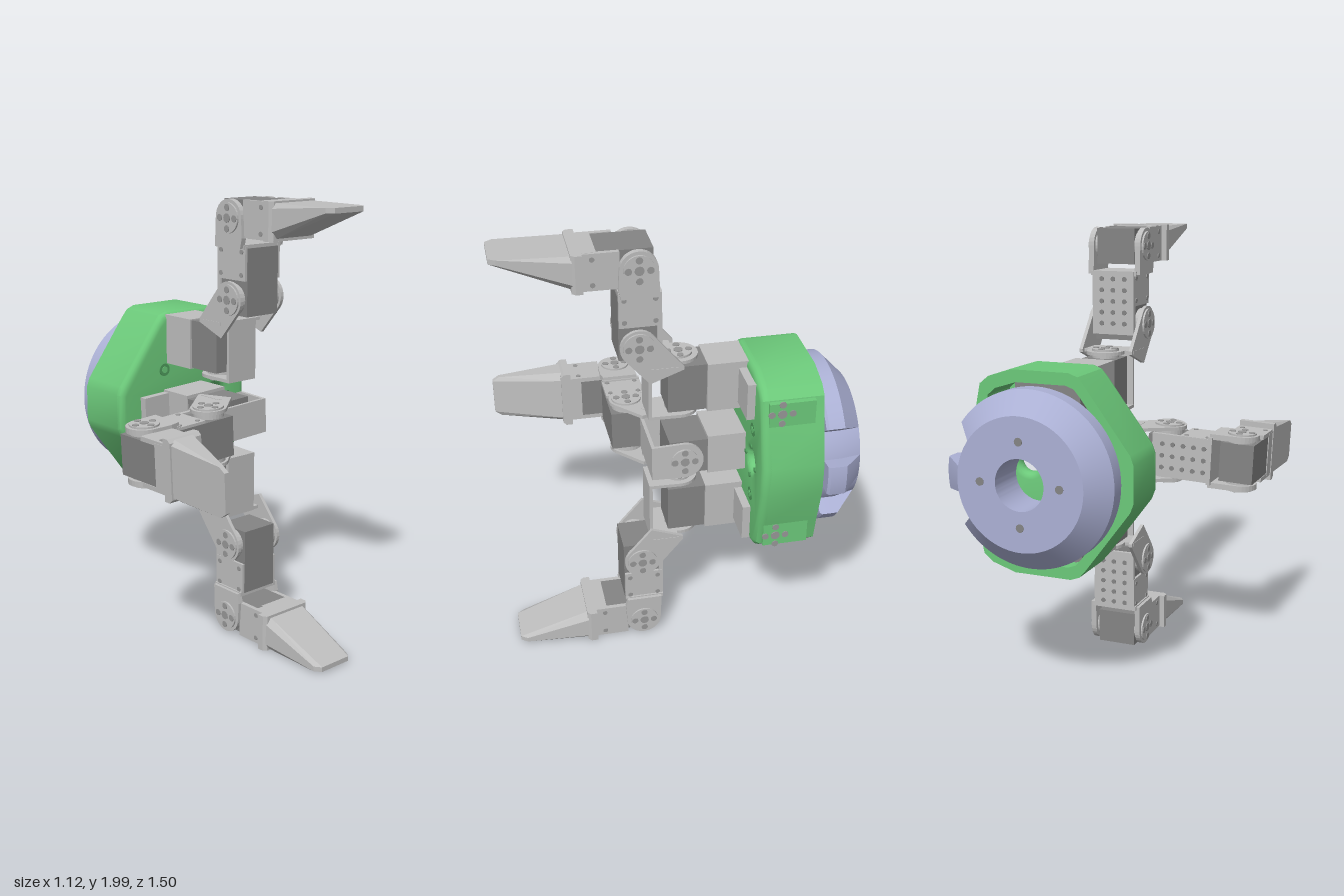
import * as THREE from 'three';
import { toCreasedNormals } from 'three/addons/utils/BufferGeometryUtils.js';
import { ConvexGeometry } from 'three/addons/geometries/ConvexGeometry.js';

const material = (name, color) => Object.assign(new THREE.MeshStandardMaterial({ color }), { name });
const bracketGrey = material('bracket grey', 0xbebebe);
const servoGrey = material('servo grey', 0x848484);
const screwGrey = material('screw grey', 0x979797);
const palmGreen = material('palm green', 0x6cc97a);
const socketGreen = material('socket green', 0x4f9c5c);
const flangeLavender = material('flange lavender', 0xabb0d4);

function add(parent, name, geometry, mat) {
  const mesh = new THREE.Mesh(geometry, mat);
  mesh.name = name;
  parent.add(mesh);
  return mesh;
}

// Box from its two limits on each axis
function box(parent, name, mat, [x0, x1], [y0, y1], [z0, z1]) {
  const g = new THREE.BoxGeometry(Math.abs(x1 - x0), y1 - y0, z1 - z0);
  g.translate((x0 + x1) / 2, (y0 + y1) / 2, (z0 + z1) / 2);
  return add(parent, name, g, mat);
}

const circle = (a, b, r, n = 28) => Array.from({ length: n }, (_, i) => {
  const t = (i / n) * Math.PI * 2;
  return [a + r * Math.cos(t), b + r * Math.sin(t)];
});

// Convex plate: outline in the two other axes, thickness along 'x' or 'y'
function plate(parent, name, mat, axis, outline, t0, t1) {
  const pts = [];
  for (const t of [t0, t1]) for (const [a, b] of outline) {
    pts.push(axis === 'x' ? new THREE.Vector3(t, a, b) : new THREE.Vector3(a, t, b));
  }
  return add(parent, name, new ConvexGeometry(pts), mat);
}

// One central and four surrounding screws on a hub face
function hubScrews(parent, axis, a, b, t) {
  const spots = [[0, 0, 0.02], ...circle(0, 0, 0.045, 4).map(([p, q]) => [p, q, 0.015])];
  for (const [p, q, r] of spots) {
    plate(parent, 'screw', screwGrey, axis, circle(a + p, b + q, r, 12), t - 0.003, t + 0.003);
  }
}

// Finger pointing along +y with its first joint at the origin; s mirrors it in x
function finger(name, s, sideMount) {
  const f = new THREE.Group();
  f.name = name;

  // Base servo and palm mount
  box(f, 'baseServo', servoGrey, [-0.08, 0.08], [-0.11, 0.11], [-0.14, 0.04]);
  box(f, 'baseBracket', bracketGrey, [-0.09, 0.095], [-0.115, 0.115], [-0.31, -0.13]);
  if (sideMount) box(f, 'palmMount', bracketGrey, [s * 0.08, s * 0.245], [-0.085, 0.085], [-0.32, -0.265]);
  else box(f, 'palmMount', bracketGrey, [-0.085, 0.085], [0.1, 0.255], [-0.32, -0.265]);

  // Yoke turning about the first joint
  for (const m of [-1, 1]) {
    plate(f, 'yokeArm', bracketGrey, 'y', [...circle(0, -0.02, 0.085), [-0.08, 0.125], [0.08, 0.125]], m * 0.125, m * 0.14);
    plate(f, 'yokeHub', bracketGrey, 'y', circle(0, -0.02, 0.06), m * 0.11, m * 0.15);
    hubScrews(f, 'y', 0, -0.02, m * 0.15);
  }
  box(f, 'yokeWeb', bracketGrey, [-0.08, 0.08], [-0.14, 0.14], [0.11, 0.125]);
  box(f, 'yokeShelf', bracketGrey, [-0.13, 0.13], [0.125, 0.14], [0.0, 0.12]);

  // Cheeks carrying the second and third joints
  for (const m of [-1, 1]) {
    plate(f, 'lowerCheek', bracketGrey, 'x',
      [...circle(0.245, 0.17, 0.08), [0.07, 0.125], [0.09, 0.1], [0.125, -0.02], [0.14, -0.02]], m * 0.112, m * 0.128);
    plate(f, 'lowerHub', bracketGrey, 'x', circle(0.245, 0.17, 0.068), m * 0.09, m * 0.136);
    hubScrews(f, 'x', 0.245, 0.17, m * 0.136);
    plate(f, 'upperCheek', bracketGrey, 'x',
      [...circle(0.595, 0.165, 0.08), [0.47, 0.08], [0.47, 0.24], [0.515, 0.25]], m * 0.1, m * 0.125);
    plate(f, 'upperHub', bracketGrey, 'x', circle(0.595, 0.165, 0.065), m * 0.09, m * 0.133);
    hubScrews(f, 'x', 0.595, 0.165, m * 0.133);
    // Middle segment side plate with corner screws
    box(f, 'middleSide', bracketGrey, [m * 0.09, m * 0.102], [0.33, 0.48], [0.07, 0.248]);
    for (const v of [0.355, 0.455]) for (const z of [0.095, 0.225]) {
      plate(f, 'screw', screwGrey, 'x', circle(v, z, 0.011, 10), m * 0.1, m * 0.105);
    }
    // Tip segment side plate
    box(f, 'tipSide', bracketGrey, [m * 0.09, m * 0.11], [0.515, 0.675], [0.24, 0.4]);
    for (const v of [0.54, 0.65]) {
      plate(f, 'screw', screwGrey, 'x', circle(v, 0.35, 0.011, 10), m * 0.108, m * 0.113);
    }
  }

  // Middle servo with its perforated back plate
  box(f, 'middleServo', servoGrey, [-0.09, 0.09], [0.175, 0.47], [0.085, 0.25]);
  box(f, 'middleBack', bracketGrey, [-0.1, 0.1], [0.2, 0.485], [0.068, 0.088]);
  box(f, 'middleCap', bracketGrey, [-0.11, 0.11], [0.465, 0.485], [0.07, 0.245]);
  for (const v of [0.25, 0.3, 0.35, 0.4, 0.45]) for (const u of [-0.055, 0, 0.055]) {
    const hole = add(f, 'plateHole', new THREE.CylinderGeometry(0.011, 0.011, 0.006, 10), servoGrey);
    hole.rotation.x = Math.PI / 2;
    hole.position.set(u, v, 0.067);
  }

  // Tip servo, bracket and collar
  box(f, 'tipServo', servoGrey, [-0.09, 0.09], [0.515, 0.672], [0.1, 0.34]);
  box(f, 'tipBracket', bracketGrey, [-0.1, 0.1], [0.515, 0.676], [0.33, 0.4]);
  plate(f, 'tipCollar', bracketGrey, 'y', [[-0.135, 0.39], [0.135, 0.39], [0.135, 0.42], [0.12, 0.435], [-0.12, 0.435], [-0.135, 0.42]], 0.515, 0.68);

  // Wedge-shaped fingertip
  const tip = [
    [-0.125, 0.555], [-0.1, 0.525], [0.1, 0.525], [0.13, 0.555], [0.13, 0.65], [0.11, 0.672], [-0.11, 0.672], [-0.125, 0.65],
  ].map(([u, v]) => [u, v, 0.43]);
  for (const v of [0.65, 0.672]) tip.push([-0.117, v, 0.72], [0.09, v, 0.72], [-0.095, v, 0.75], [0.07, v, 0.75]);
  add(f, 'fingertip', new ConvexGeometry(tip.map(([u, v, z]) => new THREE.Vector3(s * u, v, z))), bracketGrey);
  return f;
}

// Green palm shell: front plate with rounded edge and a hollow wall behind it
function palm() {
  const g = new THREE.Group();
  g.name = 'palm';
  const half = [[0.52, 0.07], [0.475, 0.25], [0.45, 0.37], [0.41, 0.405], [0.3, 0.44], [0.04, 0.44],
    [0.0, 0.425], [-0.03, 0.39], [-0.23, 0.12], [-0.245, 0.08]];
  const outline = [...half, ...half.slice().reverse().map(([x, y]) => [x, -y])].map(([x, y]) => new THREE.Vector2(x, 1 + y));
  const centre = new THREE.Vector2(0.14, 1);

  const front = new THREE.Shape(outline);
  for (const [x, y, r] of [[0.33, 1, 0.05]]) front.holes.push(new THREE.Path().absarc(x, y, r, 0, Math.PI * 2, true));
  const frontGeo = new THREE.ExtrudeGeometry(front, {
    depth: 0.01, bevelThickness: 0.03, bevelSize: 0.03, bevelOffset: -0.03, bevelSegments: 4, curveSegments: 20 });
  frontGeo.translate(0, 0, -0.34);
  add(g, 'palmFront', toCreasedNormals(frontGeo, 0.5), palmGreen);

  const wall = new THREE.Shape(outline);
  wall.holes.push(new THREE.Path(outline.map((p) => p.clone().sub(centre).multiplyScalar(0.88).add(centre)).reverse()));
  const wallGeo = new THREE.ExtrudeGeometry(wall, { depth: 0.24, bevelEnabled: false });
  wallGeo.translate(0, 0, -0.57);
  add(g, 'palmWall', toCreasedNormals(wallGeo, 0.4), palmGreen);

  for (const m of [-1, 1]) {
    // Side pad with mounting screws
    box(g, 'sidePad', palmGreen, [0.42, 0.474], [1 + m * 0.3 - 0.065, 1 + m * 0.3 + 0.065], [-0.53, -0.33]);
    hubScrews(g, 'x', 1 + m * 0.315, -0.385, 0.475);
    // Servo housing inside the shell
    box(g, 'innerServo', servoGrey, [0.02, 0.32], [1 + m * 0.3 - 0.085, 1 + m * 0.3 + 0.085], [-0.5, -0.35]);
  }
  // Sockets on the front face
  const sockets = [...circle(0.33, 1, 0.075, 4).map(([x, y]) => [x, y, 0.011])];
  for (const x of [0.01, 0.345]) for (const y of [0.835, 1.17]) sockets.push([x, y, 0.03], [x, y, 0.016]);
  for (const [x, y, r] of sockets) {
    const d = add(g, 'socket', new THREE.CylinderGeometry(r, r, r < 0.02 ? 0.008 : 0.004, 18), r === 0.016 ? palmGreen : socketGreen);
    d.rotation.x = Math.PI / 2;
    d.position.set(x, y, -0.299);
  }
  return g;
}

// Lavender mounting flange: revolved profile with two notches beside a lug
function flange() {
  const g = new THREE.Group();
  g.name = 'wristFlange';
  const profile = [[0.11, -0.75], [0.285, -0.75], [0.38, -0.66], [0.38, -0.59], [0.37, -0.58], [0.3, -0.58], [0.3, -0.565], [0.11, -0.565]];
  const angles = [];
  for (let a = 0; a < 360; a += 4) angles.push(a);
  for (const e of [11, 35]) angles.push(e - 0.4, e + 0.4, 360 - e - 0.4, 360 - e + 0.4);
  angles.sort((a, b) => a - b);
  const pos = [], index = [], n = profile.length;
  angles.forEach((deg, i) => {
    const off = Math.min(deg, 360 - deg), t = THREE.MathUtils.degToRad(deg);
    const limit = off > 11 && off < 35 ? 0.305 : 1;
    profile.forEach(([r, z], j) => {
      const q = Math.min(r, limit);
      pos.push(q * Math.cos(t), q * Math.sin(t), z);
      const i2 = (i + 1) % angles.length, j2 = (j + 1) % n;
      const a = i * n + j, b = i2 * n + j, c = i * n + j2, d = i2 * n + j2;
      index.push(a, b, c, b, d, c);
    });
  });
  const geo = new THREE.BufferGeometry();
  geo.setAttribute('position', new THREE.Float32BufferAttribute(pos, 3));
  geo.setIndex(index);
  add(g, 'flangeBody', toCreasedNormals(geo.toNonIndexed(), 0.4), flangeLavender);
  // Bolt holes on the back
  for (const [x, y] of circle(0, 0, 0.18, 4)) {
    const hole = add(g, 'boltHole', new THREE.CylinderGeometry(0.018, 0.018, 0.006, 16), servoGrey);
    hole.rotation.x = Math.PI / 2;
    hole.position.set(x, y, -0.749);
  }
  g.position.set(0.18, 1, 0);
  return g;
}

export function createModel() {
  const model = new THREE.Group();
  model.name = 'roboticHand';
  model.add(palm(), flange());
  const upper = finger('upperFinger', 1, true);
  upper.position.set(0.115, 1.315, 0);
  const lower = finger('lowerFinger', -1, true);
  lower.position.set(0.115, 0.685, 0);
  lower.rotation.z = Math.PI;
  const thumb = finger('thumb', 1, false);
  thumb.position.set(0.125, 0.985, 0);
  thumb.rotation.z = THREE.MathUtils.degToRad(92.5);
  model.add(upper, lower, thumb);
  return model;
}
